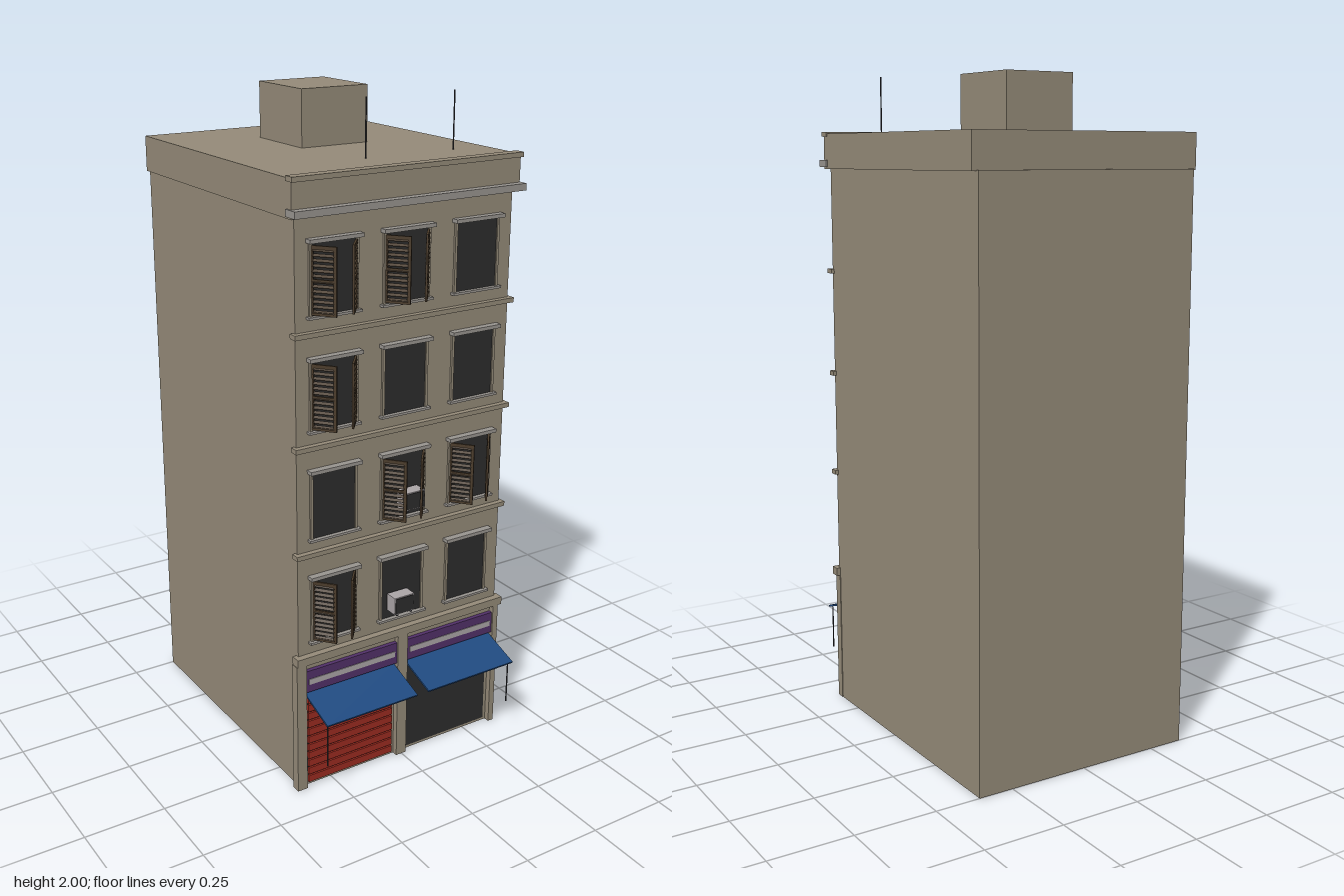
import * as THREE from 'three';

const mat = (name, color, side = THREE.FrontSide) => {
  const m = new THREE.MeshStandardMaterial({ color, side });
  m.name = name;
  return m;
};

export function createModel() {
  const wall = mat('stone wall', 0x958b79);
  const trim = mat('grey trim', 0x999590);
  const glass = mat('dark glass', 0x2c2c2c);
  const wood = mat('shutter wood', 0x4a3b2a);
  const red = mat('red roller', 0x9c2b20);
  const blue = mat('blue canvas', 0x1f4a80);
  const purple = mat('purple sign', 0x523069);
  const pale = mat('pale stripe', 0xaca6a8);
  const metal = mat('dark metal', 0x35353a);

  const model = new THREE.Group();
  model.name = 'building';

  // Box from its minimum and maximum corners
  const box = (name, m, x0, x1, y0, y1, z0, z1, parent = model) => {
    const mesh = new THREE.Mesh(new THREE.BoxGeometry(x1 - x0, y1 - y0, z1 - z0), m);
    mesh.position.set((x0 + x1) / 2, (y0 + y1) / 2, (z0 + z1) / 2);
    mesh.name = name;
    parent.add(mesh);
    return mesh;
  };
  const group = (name, x = 0, y = 0, z = 0, parent = model) => {
    const g = new THREE.Group();
    g.name = name;
    g.position.set(x, y, z);
    parent.add(g);
    return g;
  };

  const F = 0.37; // plane of the facade

  // Main block, parapet and rooftop hut
  box('body', wall, -0.36, 0.36, 0, 1.73, -0.5, F);
  box('parapet', wall, -0.375, 0.375, 1.727, 1.833, -0.49, 0.383);
  box('parapetCap', wall, -0.378, 0.378, 1.825, 1.839, 0.36, 0.393);
  box('cornice', trim, -0.38, 0.38, 1.733, 1.753, 0.36, 0.408);
  box('roofHut', wall, -0.095, 0.13, 1.83, 2, -0.275, -0.03);

  // Aerials
  for (const x of [-0.04, 0.26]) {
    const aerial = new THREE.Mesh(new THREE.CylinderGeometry(0.002, 0.002, 0.17, 6), metal);
    aerial.position.set(x, 1.915, 0.22);
    aerial.name = 'aerial';
    model.add(aerial);
  }

  // String courses between the storeys
  for (const y of [0.765, 1.087, 1.411]) {
    box('stringCourse', wall, -0.37, 0.37, y - 0.007, y + 0.007, 0.36, 0.387);
  }
  box('shopCornice', wall, -0.373, 0.373, 0.42, 0.445, 0.36, 0.391);

  // Half-open louvred shutter leaf, hinged at the origin
  const shutterLeaf = (parent, side, h) => {
    const leaf = group('shutterLeaf', side * 0.073, 0, 0.002, parent);
    leaf.rotation.y = side > 0 ? Math.PI + 0.89 : -0.89;
    const w = 0.075, t = 0.003;
    for (const x of [0, w - 0.009]) box('shutterStile', wood, x, x + 0.009, 0.004, h - 0.002, -t, t, leaf);
    for (const y of [0.004, h / 2 - 0.005, h - 0.012]) box('shutterRail', wood, 0, w, y, y + 0.01, -t, t, leaf);
    for (let i = 1; i < 14; i++) {
      const slat = box('slat', wood, 0.007, w - 0.007, -0.001, 0.001, -0.005, 0.005, leaf);
      slat.position.y = (h * i) / 14;
      slat.rotation.x = 0.6;
    }
  };

  // Windows: one row of flags per storey, 1 where shutters are fitted
  const storeys = [
    { y: 0.485, shutters: [1, 0, 0] },
    { y: 0.81, shutters: [0, 1, 1] },
    { y: 1.135, shutters: [1, 0, 0] },
    { y: 1.46, shutters: [1, 1, 0] },
  ];
  const H = 0.195;
  for (const { y, shutters } of storeys) {
    [-0.24, -0.003, 0.237].forEach((x, i) => {
      const win = group('window', x, y, F);
      box('glass', glass, -0.07, 0.07, 0, H, -0.002, 0.003, win);
      for (const s of [-1, 1]) {
        box('jamb', wall, s * 0.074 - 0.004, s * 0.074 + 0.004, 0, H + 0.007, -0.002, 0.007, win);
      }
      box('lintel', trim, -0.085, 0.085, H + 0.005, H + 0.016, -0.002, 0.022, win);
      box('sill', trim, -0.085, 0.085, -0.007, 0, -0.002, 0.016, win);
      if (shutters[i]) for (const s of [-1, 1]) shutterLeaf(win, s, H);
    });
  }

  // Air conditioners on brackets
  for (const [x, y] of [[-0.024, 0.545], [0.005, 0.873]]) {
    const ac = group('airConditioner', x, y, F);
    box('casing', pale, -0.035, 0.035, -0.027, 0.027, 0.012, 0.053, ac);
    box('grille', glass, -0.032, 0.032, -0.024, 0.024, 0.053, 0.055, ac);
    for (const s of [-0.025, 0.025]) {
      box('bracket', metal, s - 0.003, s + 0.003, -0.032, -0.027, 0, 0.053, ac);
    }
  }

  // Shop piers
  for (const [a, b] of [[-0.375, -0.342], [-0.02, 0.016], [0.343, 0.362]]) {
    box('pier', wall, a, b, 0, 0.42, 0.36, 0.388);
  }

  // Two shops, each with sign, awning and hanging pole
  for (const [a, b, closed] of [[-0.34, -0.02, true], [0.018, 0.343, false]]) {
    const shop = group(closed ? 'closedShop' : 'openShop');
    box('shopOpening', glass, a + 0.008, b - 0.012, 0.01, 0.32, F - 0.002, F + 0.003, shop);
    box('sign', purple, a, b, 0.325, 0.395, 0.36, 0.383, shop);
    box('signStripe', pale, a + 0.008, b - 0.008, 0.35, 0.368, 0.383, 0.385, shop);
    if (closed) {
      // Roller shutter slats with dark gaps
      for (let i = 0; i < 11; i++) {
        const y = 0.012 + i * 0.027;
        box('rollerSlat', red, a + 0.008, b - 0.012, y, y + 0.022, F, F + 0.009, shop);
      }
    }
    const awning = box('awning', blue, a, b - 0.003, -0.003, 0.003, -0.067, 0.067, shop);
    awning.position.y = 0.294;
    awning.position.z = 0.434;
    awning.rotation.x = 0.33;
    const px = closed ? a + 0.008 : b - 0.012;
    box('awningPole', metal, px - 0.0015, px + 0.0015, 0.13, 0.272, 0.484, 0.487, shop);
  }
  return model;
}
